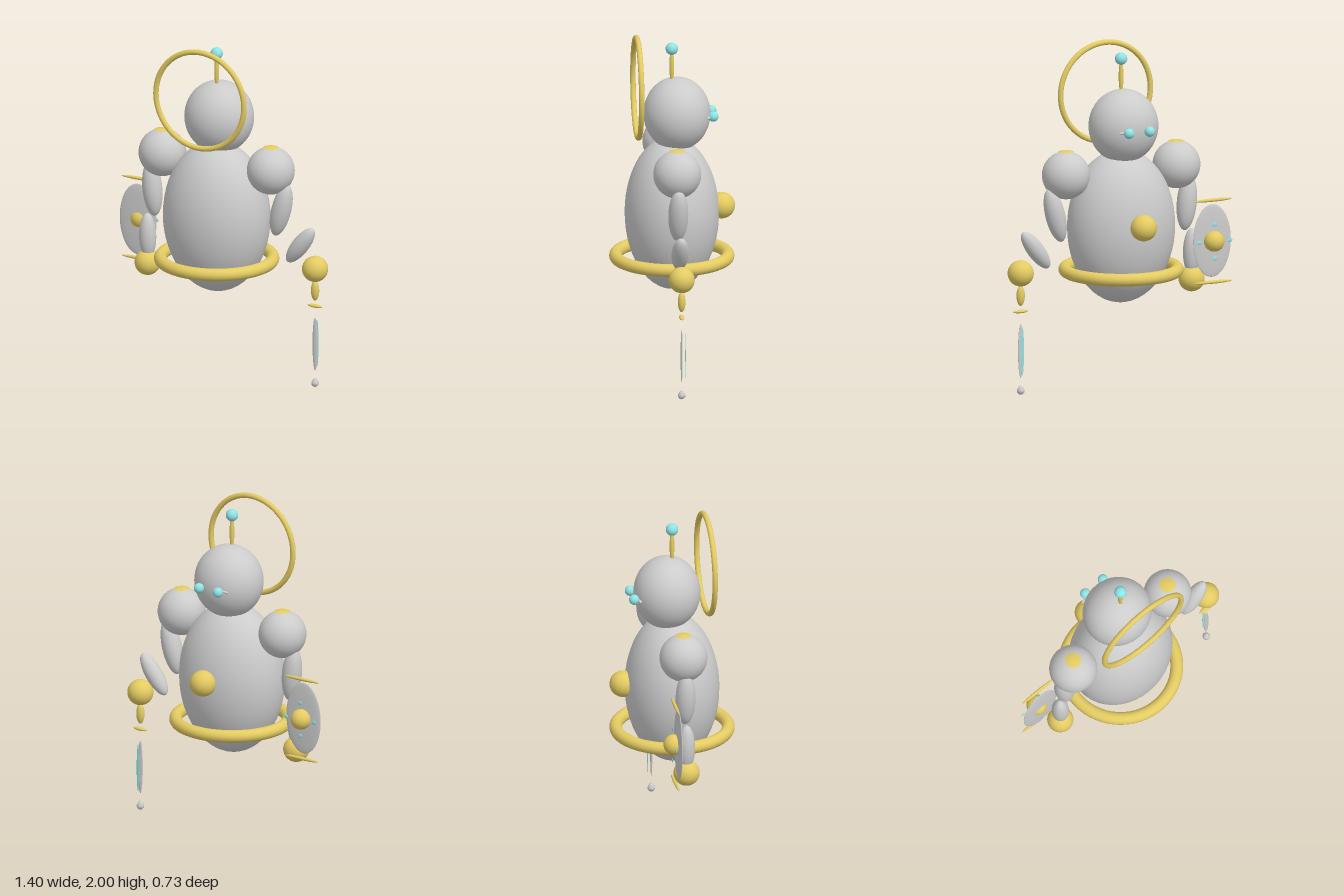
import * as THREE from 'three';

const grey = new THREE.MeshStandardMaterial({ color: 0xcccccc });
const gold = new THREE.MeshStandardMaterial({ color: 0xe3cb62 });
const cyan = new THREE.MeshStandardMaterial({ color: 0x8fe3e6 });
const CX = -0.027; // middle of the body

export function createModel() {
  const model = new THREE.Group();
  const unitSphere = new THREE.SphereGeometry(1, 40, 28);

  const add = (parent, name, geometry, material, x, y, z) => {
    const mesh = new THREE.Mesh(geometry, material);
    mesh.name = name;
    mesh.position.set(x, y, z);
    parent.add(mesh);
    return mesh;
  };
  const ellipsoid = (parent, name, material, [x, y, z], [rx, ry, rz], tilt = 0) => {
    const mesh = add(parent, name, unitSphere, material, x, y, z);
    mesh.scale.set(rx, ry, rz);
    mesh.rotation.z = tilt;
    return mesh;
  };
  const group = (name) => {
    const g = new THREE.Group();
    g.name = name;
    model.add(g);
    return g;
  };

  // Torso, belt ring and chest orb
  ellipsoid(model, 'torso', grey, [CX, 0.94, 0], [0.323, 0.45, 0.273]);
  add(model, 'beltRing', new THREE.TorusGeometry(0.326, 0.037, 20, 72), gold, CX, 0.683, 0)
    .rotation.x = Math.PI / 2;
  ellipsoid(model, 'chestOrb', gold, [CX, 0.977, -0.29], [0.077, 0.077, 0.077]);

  // Head with eyes, antenna and halo
  const head = group('head');
  ellipsoid(head, 'skull', grey, [CX, 1.535, -0.03], [0.205, 0.215, 0.194]);
  for (const s of [-1, 1]) {
    ellipsoid(head, 'eye', cyan, [CX + s * 0.067, 1.53, -0.235], [0.03, 0.03, 0.03]);
    ellipsoid(head, 'eyeSlit', grey, [CX + s * 0.075, 1.53, -0.205], [0.045, 0.007, 0.012]);
  }
  ellipsoid(head, 'antennaRod', gold, [CX, 1.82, 0], [0.014, 0.1, 0.014]);
  ellipsoid(head, 'antennaTip', cyan, [CX, 1.925, 0], [0.036, 0.036, 0.036]);
  add(head, 'halo', new THREE.TorusGeometry(0.291, 0.016, 16, 80), gold, CX, 1.695, 0.2);

  // Arms: shoulder, cap, upper arm, forearm and hand
  const capGeometry = new THREE.SphereGeometry(0.143, 32, 6, 0, Math.PI * 2, 0, 0.33);
  const arms = [
    { name: 'leftArm', x: 0.331, upper: [0.4, 1.04, 0], upperTilt: -0.25,
      fore: [0.527, 0.845, 0], foreTilt: -0.65, hand: [0.624, 0.717, 0] },
    { name: 'rightArm', x: -0.386, upper: [-0.453, 1.04, 0], upperTilt: 0.1,
      fore: [-0.484, 0.745, 0], foreTilt: 0.02, hand: [-0.484, 0.587, 0] },
  ];
  for (const a of arms) {
    const arm = group(a.name);
    ellipsoid(arm, 'shoulder', grey, [a.x, 1.27, 0], [0.139, 0.14, 0.139]);
    add(arm, 'shoulderCap', capGeometry, gold, a.x, 1.273, 0);
    ellipsoid(arm, 'upperArm', grey, a.upper, [0.058, 0.165, 0.058], a.upperTilt);
    ellipsoid(arm, 'forearm', grey, a.fore, [0.05, 0.138, 0.05], a.foreTilt);
    ellipsoid(arm, 'hand', gold, a.hand, [0.076, 0.076, 0.076]);
  }

  // Sword hanging below the left hand
  const sword = group('sword');
  const SX = 0.624;
  ellipsoid(sword, 'grip', gold, [SX, 0.585, 0], [0.025, 0.06, 0.022]);
  ellipsoid(sword, 'guard', gold, [SX, 0.492, 0], [0.048, 0.01, 0.015]);
  ellipsoid(sword, 'blade', grey, [SX, 0.26, 0], [0.017, 0.16, 0.006]);
  ellipsoid(sword, 'bladeGlow', cyan, [SX, 0.26, -0.023], [0.01, 0.143, 0.002]);
  const tipProfile = [[0, 0], [0.012, 0.004], [0.021, 0.015], [0.022, 0.027], [0.013, 0.046], [0, 0.056]]
    .map(([r, y]) => new THREE.Vector2(r, y));
  add(sword, 'bladeTip', new THREE.LatheGeometry(tipProfile, 20), grey, SX, 0, 0);

  // Shield beside the right arm
  const shield = group('shield');
  const HX = -0.583, HY = 0.813;
  ellipsoid(shield, 'shieldPlate', grey, [HX, HY, -0.066], [0.122, 0.215, 0.013]);
  ellipsoid(shield, 'shieldBoss', gold, [HX, HY, -0.094], [0.06, 0.06, 0.06]);
  for (const s of [-1, 1]) {
    ellipsoid(shield, 'shieldTrim', gold, [HX, HY + s * 0.242, -0.085], [0.12, 0.01, 0.01]);
    ellipsoid(shield, 'sideRivet', cyan, [HX + s * 0.1, HY, -0.101], [0.015, 0.012, 0.003]);
    ellipsoid(shield, 'endRivet', cyan, [HX, HY + s * 0.1, -0.101], [0.015, 0.012, 0.003]);
  }

  return model;
}
